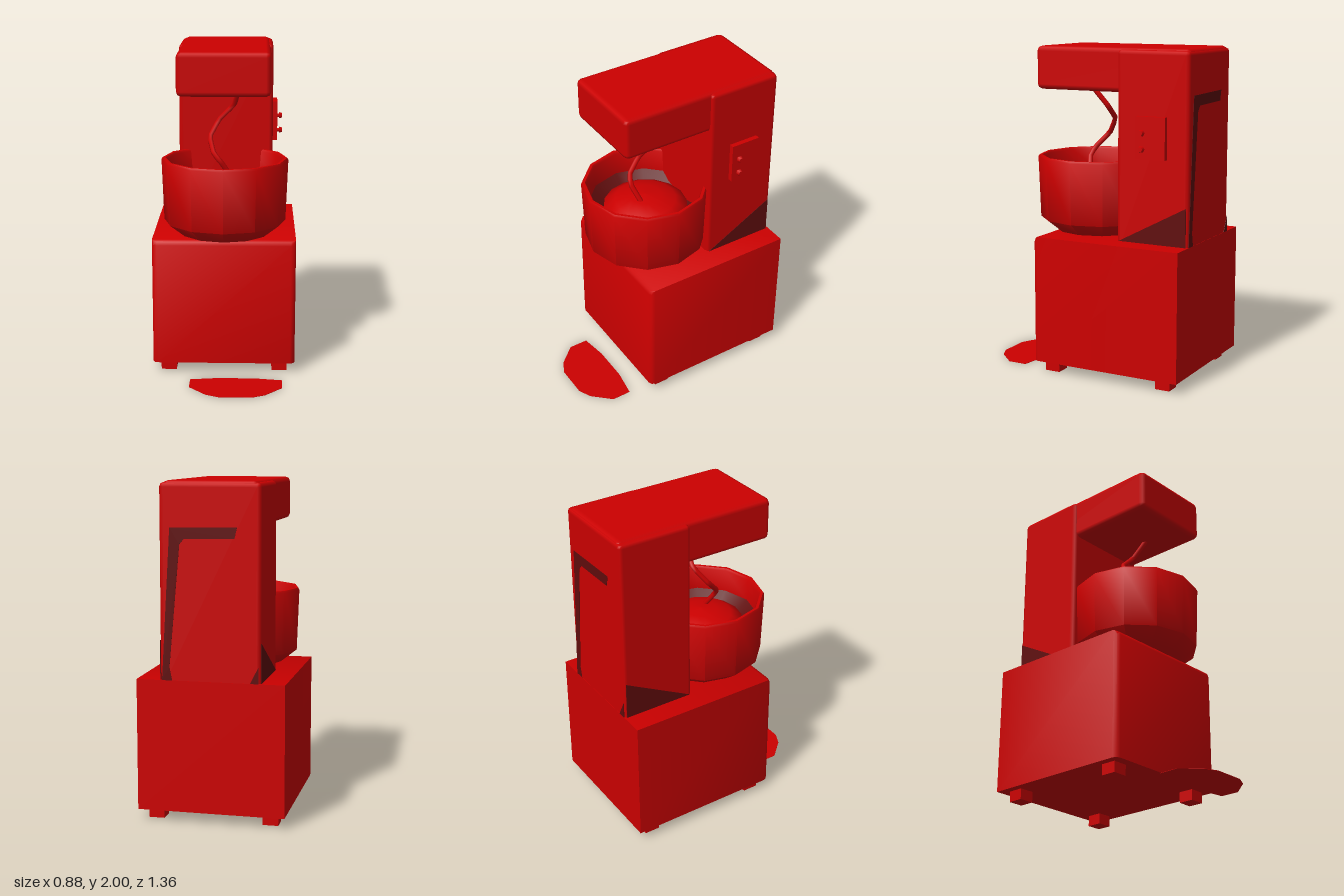
import * as THREE from 'three';
import { toCreasedNormals } from 'three/addons/utils/BufferGeometryUtils.js';
import { RoundedBoxGeometry } from 'three/addons/geometries/RoundedBoxGeometry.js';

export function createModel() {
  const model = new THREE.Group();
  model.name = 'doughMixer';
  const red = new THREE.MeshStandardMaterial({ color: 0xcc0000 });
  red.name = 'red enamel';
  const dark = new THREE.MeshStandardMaterial({ color: 0x600c0c });
  dark.name = 'dark red';

  function add(name, geometry, x = 0, y = 0, z = 0, material = red) {
    const mesh = new THREE.Mesh(geometry, material);
    mesh.name = name;
    mesh.position.set(x, y, z);
    model.add(mesh);
    return mesh;
  }

  // Box given by its limits, with optional chamfered edges
  function box(name, [x0, x1], [y0, y1], [z0, z1], r = 0) {
    const size = [x1 - x0, y1 - y0, z1 - z0];
    const geometry = r ? new RoundedBoxGeometry(...size, 1, r) : new THREE.BoxGeometry(...size);
    return add(name, geometry, (x0 + x1) / 2, (y0 + y1) / 2, (z0 + z1) / 2);
  }

  // Thin flat plate cut to an outline
  function plate(points, depth) {
    const shape = new THREE.Shape(points.map(([a, b]) => new THREE.Vector2(a, b)));
    return new THREE.ExtrudeGeometry(shape, { depth, bevelEnabled: false });
  }

  const lathe = (profile, sides) =>
    new THREE.LatheGeometry(profile.map(([r, y]) => new THREE.Vector2(r, y)), sides);

  // Base cabinet: only the front vertical edges and the front top edge are chamfered
  const base = box('baseCabinet', [-0.44, 0.44], [0.066, 0.852], [-0.68, 0.294], 0.03);
  const p = base.geometry.attributes.position;
  const hx = 0.44, hy = 0.393, hz = 0.487;
  for (let i = 0; i < p.count; i++) {
    if (p.getY(i) < 0) p.setY(i, -hy);
    if (p.getZ(i) < hz - 0.029) {
      p.setX(i, Math.sign(p.getX(i)) * hx);
      p.setY(i, Math.sign(p.getY(i)) * hy);
      if (p.getZ(i) < 0) p.setZ(i, -hz);
    }
  }
  base.geometry = toCreasedNormals(base.geometry, 0.9);

  // Feet
  for (const x of [-0.345, 0.345]) {
    for (const z of [-0.567, 0.188]) {
      add('foot', new THREE.BoxGeometry(0.095, 0.08, 0.095), x, 0.04, z);
    }
  }

  // Column and overhanging head
  box('column', [-0.298, 0.298], [0.8, 1.99], [-0.678, -0.21], 0.025);
  box('head', [-0.28, 0.28], [1.738, 2.0], [-0.674, 0.357], 0.03);

  // Dark wedges low on both sides of the column
  for (const x of [-0.298, 0.298]) {
    const wedge = plate([[0.225, 0.852], [0.665, 0.852], [0.665, 1.085]], 0.004);
    add('sideWedge', wedge.translate(0, 0, -0.002).rotateY(Math.PI / 2), x, 0, 0, dark);
  }

  // Dark strip along the top and one edge of the column back, and a small lower corner
  const strip = [
    [0.285, 0.852], [0.234, 1.735], [-0.16, 1.742], [-0.145, 1.677], [0.15, 1.672],
    [0.176, 1.64], [0.24, 0.93], [0.225, 0.852],
  ];
  add('backStrip', plate(strip, 0.004), 0, 0, -0.68, dark);
  add('backCorner', plate([[-0.285, 0.852], [-0.235, 0.852], [-0.285, 0.95]], 0.004), 0, 0, -0.68, dark);

  // Twelve-sided bowl with a wall and rim, and a dark floor sloping inward
  const bowlProfile = [
    [0, 0.855], [0.28, 0.855], [0.378, 0.932], [0.392, 1.31], [0.385, 1.323],
    [0.368, 1.323], [0.36, 1.31], [0.352, 1.165],
  ];
  add('bowl', toCreasedNormals(lathe(bowlProfile, 12), 0.95), 0, 0, 0.058);
  add('bowlFloor', lathe([[0.353, 1.17], [0.25, 1.08]], 12), 0, 0, 0.058, dark);

  // Dough mound
  const doughProfile = [[0.27, 1.06], [0.26, 1.15], [0.19, 1.195], [0.1, 1.22], [0, 1.228]];
  add('dough', lathe(doughProfile, 16), 0, 0, 0.058);

  // Bent hook hanging from the head, with nearly straight runs between bends
  const hookPath = new THREE.CatmullRomCurve3([
    [0.09, 1.78, 0.09], [0.08, 1.73, 0.055], [0.055, 1.64, -0.015], [-0.035, 1.55, -0.025],
    [-0.092, 1.45, 0.045], [-0.065, 1.36, 0.13], [-0.02, 1.31, 0.145], [0.05, 1.2, 0.11],
  ].map((v) => new THREE.Vector3(...v)), false, 'catmullrom', 0.1);
  add('doughHook', new THREE.TubeGeometry(hookPath, 18, 0.016, 6));

  // Control box with two knobs
  box('controlBox', [0.29, 0.328], [1.36, 1.61], [-0.54, -0.35]);
  for (const y of [1.42, 1.515]) {
    const stem = new THREE.CylinderGeometry(0.012, 0.012, 0.03, 6).rotateZ(-Math.PI / 2);
    const cap = new THREE.CylinderGeometry(0.016, 0.021, 0.02, 6).rotateZ(-Math.PI / 2);
    add('knobStem', stem, 0.338, y, -0.395);
    add('knobCap', cap, 0.35, y, -0.395);
  }

  // Flat plate lying on the floor in front
  const half = [[0.115, 0.385], [0.282, 0.41], [0.282, 0.53], [0.178, 0.643], [0.1, 0.68]];
  const outline = [...half, ...half.map(([x, z]) => [-x, z]).reverse()];
  add('floorPlate', plate(outline.map(([x, z]) => [x + 0.078, -z]), 0.002).rotateX(-Math.PI / 2));

  return model;
}
